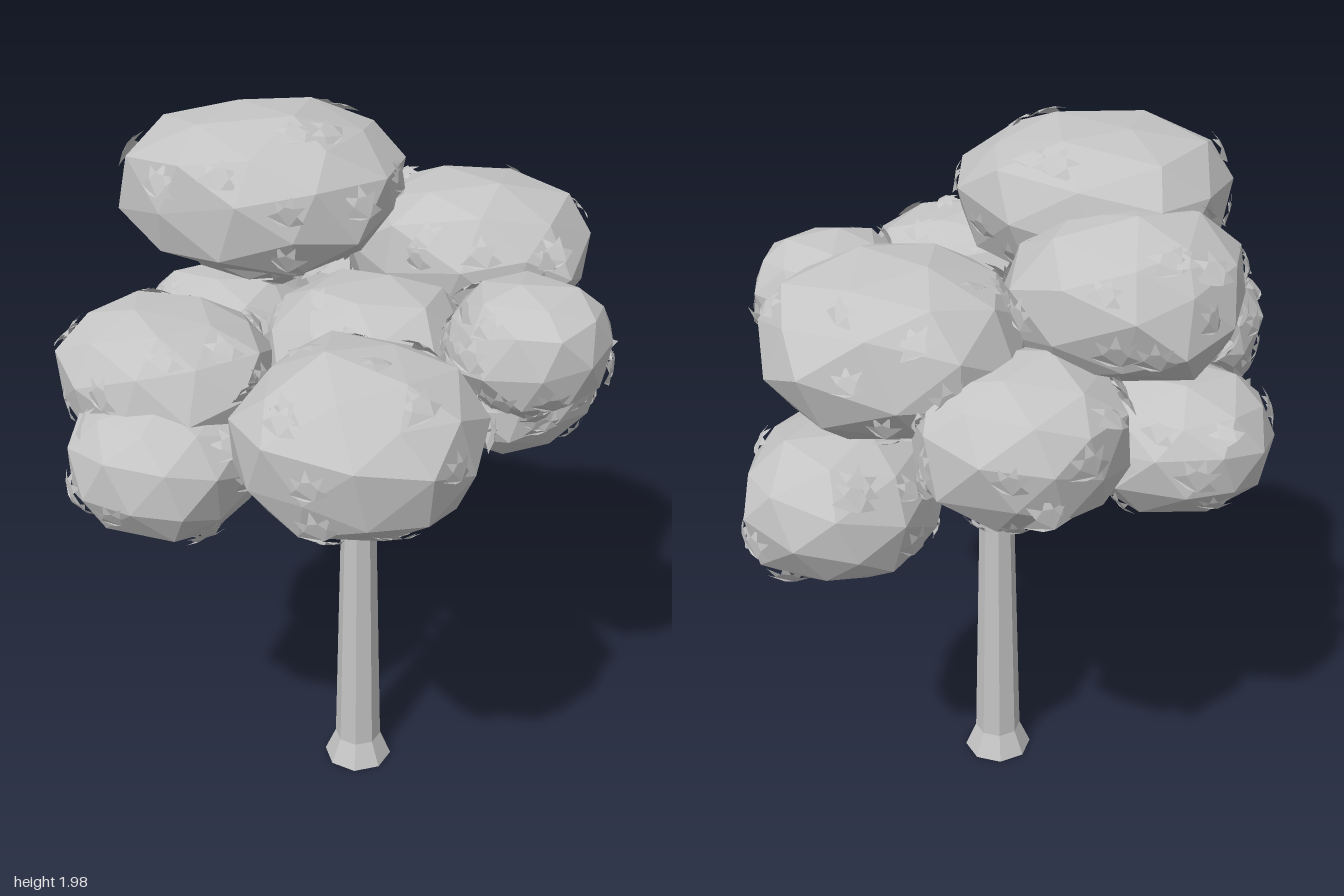
import * as THREE from 'three';
import { mergeGeometries, mergeVertices } from 'three/addons/utils/BufferGeometryUtils.js';

const grey = new THREE.MeshStandardMaterial({ color: 0xc4c4c4, flatShading: true });
grey.name = 'plain grey';
const leafGrey = new THREE.MeshStandardMaterial({ color: 0xc4c4c4, flatShading: true, side: THREE.DoubleSide });
leafGrey.name = 'leaf grey';

// Small seeded generator
let seed = 11;
const rand = () => ((seed = (seed * 16807) % 2147483647) / 2147483647);
const spread = (a) => (rand() * 2 - 1) * a;

// Crown clumps: centre, half sizes
const clumps = [
  { name: 'topClump', c: [-0.2, 1.785, 0.075], r: [0.345, 0.195, 0.315] },
  { name: 'frontLeftClump', c: [0.285, 1.375, 0.475], r: [0.295, 0.215, 0.275] },
  { name: 'frontRightLowClump', c: [-0.25, 1.18, 0.495], r: [0.235, 0.18, 0.23] },
  { name: 'frontRightClump', c: [-0.34, 1.335, 0.36], r: [0.285, 0.19, 0.25] },
  { name: 'sideRightClump', c: [-0.48, 1.255, -0.14], r: [0.255, 0.17, 0.24] },
  { name: 'backRightHighClump', c: [-0.36, 1.645, -0.18], r: [0.285, 0.205, 0.29] },
  { name: 'backLeftHighClump', c: [0.16, 1.53, -0.4], r: [0.34, 0.21, 0.3] },
  { name: 'backLeftLowClump', c: [0.28, 1.14, -0.475], r: [0.25, 0.19, 0.305] },
  { name: 'backRightClump', c: [-0.19, 1.365, -0.485], r: [0.255, 0.205, 0.26] },
  { name: 'sideLeftClump', c: [0.505, 1.47, 0.01], r: [0.2, 0.165, 0.21] },
  { name: 'middleClump', c: [0.09, 1.35, 0.055], r: [0.285, 0.22, 0.265] },
];

// Faceted ball, turned, roughened, made a little boxy and fitted to its half sizes
function clumpGeometry(r) {
  let g = new THREE.IcosahedronGeometry(1, 1);
  g.deleteAttribute('normal');
  g.deleteAttribute('uv');
  g = mergeVertices(g, 1e-3);
  g.rotateX(rand() * 6).rotateY(rand() * 6).rotateZ(rand() * 6);
  const p = g.attributes.position;
  const full = (v) => Math.sign(v) * Math.abs(v) ** 0.88 + spread(0.05);
  for (let i = 0; i < p.count; i++) p.setXYZ(i, full(p.getX(i)), full(p.getY(i)), full(p.getZ(i)));
  g.center();
  g.computeBoundingBox();
  const m = g.boundingBox.max;
  g.scale(r[0] / m.x, r[1] / m.y, r[2] / m.z);
  g = g.toNonIndexed();
  g.computeVertexNormals();
  return g;
}

// Five-pointed leaf with a rounded base, slightly cupped
function leafGeometry() {
  const s = new THREE.Shape();
  s.moveTo(-0.014, -0.032);
  s.lineTo(0.014, -0.032);
  for (let i = 0; i <= 8; i++) {
    const a = -0.3 + (i * (Math.PI + 0.6)) / 8;
    const d = i % 2 ? 0.03 : 0.06;
    s.lineTo(Math.cos(a) * d, Math.sin(a) * d);
  }
  s.closePath();
  const g = new THREE.ShapeGeometry(s);
  const p = g.attributes.position;
  for (let i = 0; i < p.count; i++) p.setZ(i, -4 * (p.getX(i) ** 2 + p.getY(i) ** 2));
  g.computeVertexNormals();
  return g;
}

// Leaves laid on random facets of one clump, keeping its crown nearly bare
function leavesFor(ball, leaf, count) {
  const list = [];
  const o = new THREE.Object3D();
  const p = ball.attributes.position;
  const tri = new THREE.Triangle();
  const n = new THREE.Vector3();
  while (list.length < count) {
    const f = 3 * Math.floor((rand() * p.count) / 3);
    tri.setFromAttributeAndIndices(p, f, f + 1, f + 2);
    tri.getNormal(n);
    if (Math.abs(n.y) > 0.8 && rand() < 0.7) continue;
    const u = 0.2 + 0.4 * rand(), v = (1 - u) * (0.2 + 0.6 * rand());
    o.position.set(0, 0, 0).addScaledVector(tri.a, u).addScaledVector(tri.b, v)
      .addScaledVector(tri.c, 1 - u - v).addScaledVector(n, 0.018);
    o.lookAt(n.add(o.position));
    o.rotateZ(spread(0.4));
    o.rotateX(spread(0.25));
    o.rotateY(spread(0.25));
    o.scale.setScalar(0.75 + 0.25 * rand());
    o.updateMatrix();
    list.push(leaf.clone().applyMatrix4(o.matrix));
  }
  return mergeGeometries(list);
}

// Tapered limb between two points
function limb(from, to, r0, r1) {
  const a = new THREE.Vector3(...from), b = new THREE.Vector3(...to);
  const mesh = new THREE.Mesh(new THREE.CylinderGeometry(r1, r0, a.distanceTo(b), 5), grey);
  mesh.position.copy(a).add(b).multiplyScalar(0.5);
  mesh.quaternion.setFromUnitVectors(new THREE.Vector3(0, 1, 0), b.sub(a).normalize());
  mesh.name = 'branch';
  return mesh;
}

export function createModel() {
  const tree = new THREE.Group();
  tree.name = 'tree';

  // Trunk with a flared foot
  const profile = [[0, 0], [0.1, 0], [0.068, 0.075], [0.048, 0.92], [0, 0.92]];
  const trunk = new THREE.Mesh(
    new THREE.LatheGeometry(profile.map(([x, y]) => new THREE.Vector2(x, y)), 8), grey);
  trunk.name = 'trunk';
  trunk.rotation.y = Math.PI / 8;
  trunk.position.set(0.037, 0, 0.025);
  tree.add(trunk);

  // Branches fanning into the crown
  const tips = [
    [0.28, 1.27, 0.45], [0.44, 1.24, 0.04], [0.06, 1.26, 0.05],
    [-0.2, 1.2, 0.35], [0.12, 1.36, -0.33], [-0.13, 1.27, -0.35],
  ];
  const branches = new THREE.Group();
  branches.name = 'branches';
  for (const t of tips) {
    const root = [0.037 + (t[0] - 0.037) * 0.06, 0.91, 0.025 + (t[2] - 0.025) * 0.06];
    branches.add(limb(root, t, 0.022, 0.016));
  }
  tree.add(branches);

  // Crown: clumps and their leaves
  const leaf = leafGeometry();
  for (const { name, c, r } of clumps) {
    const clump = new THREE.Group();
    clump.name = name;
    clump.position.set(...c);
    const ball = new THREE.Mesh(clumpGeometry(r), grey);
    ball.name = 'foliage';
    const leaves = new THREE.Mesh(leavesFor(ball.geometry, leaf, 24), leafGrey);
    leaves.name = 'leaves';
    clump.add(ball, leaves);
    tree.add(clump);
  }
  return tree;
}
